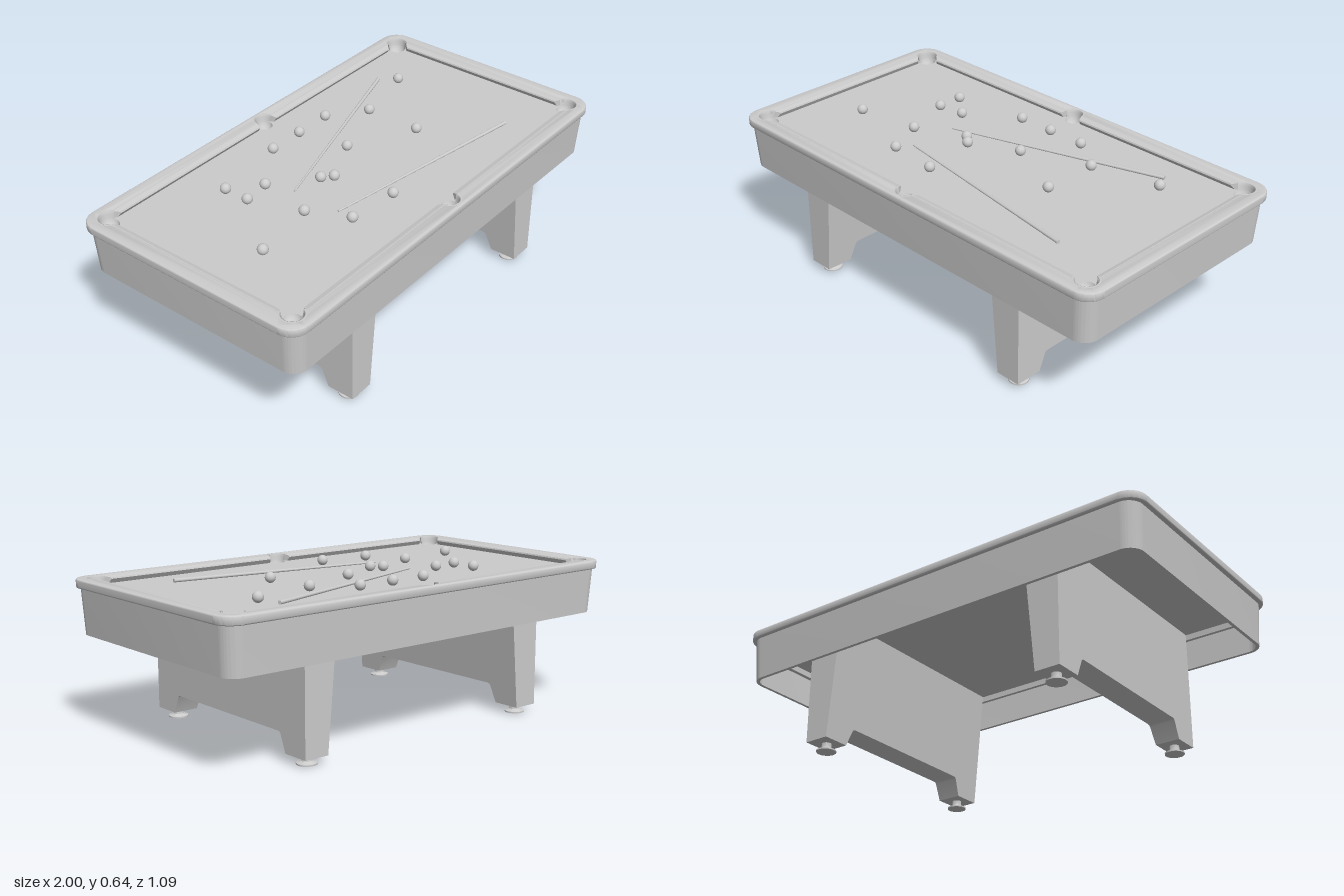
import * as THREE from 'three';
import { toCreasedNormals } from 'three/addons/utils/BufferGeometryUtils.js';

const mat = new THREE.MeshStandardMaterial({ color: 0xcccccc });
const matDouble = new THREE.MeshStandardMaterial({ color: 0xcccccc, side: THREE.DoubleSide });
const BED = 0.597;
const CORNER = { x: 0.912, z: 0.459, r: 0.045 };
const SIDE = { x: 0, z: 0.482, r: 0.042 };
const BACK_X = 0.935, BACK_Z = 0.487; // where the cushions meet the rail

function add(parent, name, geometry, material = mat) {
  const mesh = new THREE.Mesh(geometry, material);
  mesh.name = name;
  parent.add(mesh);
  return mesh;
}

function roundedRect(hx, hz, r, Type = THREE.Shape) {
  const s = new Type();
  s.absarc(hx - r, hz - r, r, 0, Math.PI / 2);
  s.absarc(-hx + r, hz - r, r, Math.PI / 2, Math.PI);
  s.absarc(-hx + r, -hz + r, r, Math.PI, Math.PI * 1.5);
  s.absarc(hx - r, -hz + r, r, Math.PI * 1.5, Math.PI * 2);
  s.closePath();
  return s;
}

// Extrudes a plan shape upward from y0 to y1
function slab(shape, y0, y1, bevel = 0) {
  const g = new THREE.ExtrudeGeometry(shape, {
    depth: y1 - y0 - 2 * bevel, curveSegments: 14, bevelEnabled: bevel > 0,
    bevelSize: bevel, bevelThickness: bevel, bevelOffset: -bevel, bevelSegments: 5,
  });
  return g.rotateX(-Math.PI / 2).translate(0, y0 + bevel, 0);
}

function moveVertices(g, rule) {
  const p = g.attributes.position, v = new THREE.Vector3();
  for (let i = 0; i < p.count; i++) {
    rule(v.fromBufferAttribute(p, i));
    p.setXYZ(i, v.x, v.y, v.z);
  }
  g.computeVertexNormals();
  return g;
}

// Inner outline of the rail: a rectangle bulging round the six pockets
function railOpening() {
  const quarter = [];
  const arc = (c, a0, a1, n) => {
    for (let i = 0; i <= n; i++) {
      const a = a0 + (a1 - a0) * i / n;
      quarter.push([c.x + c.r * Math.cos(a), c.z + c.r * Math.sin(a)]);
    }
  };
  arc(CORNER, -Math.acos((BACK_X - CORNER.x) / CORNER.r), Math.PI / 2 + Math.acos((BACK_Z - CORNER.z) / CORNER.r), 18);
  arc(SIDE, Math.asin((BACK_Z - SIDE.z) / SIDE.r), Math.PI / 2, 9);
  const half = [...quarter, ...quarter.slice(0, -1).reverse().map(([x, z]) => [-x, z])];
  const all = [...half, ...half.map(([x, z]) => [-x, -z])];
  return new THREE.Path(all.map(([x, z]) => new THREE.Vector2(x, z)));
}

// Cushion strip along +x from a to b, nose towards -z, ends mitred by ma and mb
function cushionGeometry(a, b, ma, mb, depth) {
  const s = new THREE.Shape([[-0.009, BED], [depth * 0.55, BED], [depth, 0.615], [depth * 0.9, 0.621], [0.1 * depth, 0.6265], [-0.009, 0.6265]]
    .map(([d, y]) => new THREE.Vector2(d, y)));
  const g = new THREE.ExtrudeGeometry(s, { depth: b - a, bevelEnabled: false });
  g.rotateY(Math.PI / 2); // depth along x, profile towards -z
  const mid = (b - a) / 2;
  return moveVertices(g, (v) => {
    const d = -v.z;
    v.x += a + (v.x < mid ? ma * d : -mb * d);
  });
}

function lathe(points, segments, start = 0, span = Math.PI * 2) {
  return new THREE.LatheGeometry(points.map(([r, y]) => new THREE.Vector2(r, y)), segments, start, span);
}

function buildLeg() {
  const leg = new THREE.Group();
  leg.name = 'leg';
  // Panel with an arched cut-out between its two feet
  const s = new THREE.Shape();
  s.moveTo(-0.496, 0.036);
  s.lineTo(-0.376, 0.036);
  s.lineTo(-0.348, 0.105);
  s.quadraticCurveTo(-0.344, 0.116, -0.33, 0.116);
  s.lineTo(0.33, 0.116);
  s.quadraticCurveTo(0.344, 0.116, 0.348, 0.105);
  s.lineTo(0.376, 0.036);
  s.lineTo(0.496, 0.036);
  s.lineTo(0.496, 0.57);
  s.lineTo(-0.496, 0.57);
  const g = new THREE.ExtrudeGeometry(s, { depth: 1, bevelEnabled: false, curveSegments: 6 });
  g.rotateY(Math.PI / 2);
  moveVertices(g, (v) => { v.x = v.x > 0.5 ? 0.625 : 0.516 - 0.088 * (v.y - 0.036); });
  add(leg, 'legPanel', toCreasedNormals(g, 0.5));
  // Levelling feet
  const profile = [[0, 0], [0.041, 0], [0.041, 0.006], [0.029, 0.009], [0.022, 0.014], [0.02, 0.02], [0.02, 0.037], [0, 0.037]];
  for (const z of [-0.434, 0.434]) {
    add(leg, 'foot', toCreasedNormals(lathe(profile, 24), 0.6)).position.set(0.57, 0, z);
  }
  return leg;
}

export function createModel() {
  const model = new THREE.Group();
  model.name = 'billiardTable';

  // Top rail
  const rail = roundedRect(1, 0.543, 0.08);
  rail.holes.push(railOpening());
  add(model, 'rail', toCreasedNormals(slab(rail, 0.591, 0.6275, 0.007), 0.6));

  // Apron, open below and widening slightly upward
  const apron = roundedRect(0.971, 0.519, 0.065);
  apron.holes.push(roundedRect(0.957, 0.505, 0.052, THREE.Path));
  const apronGeometry = moveVertices(slab(apron, 0.4, 0.594), (v) => {
    const t = (v.y - 0.4) / 0.19;
    v.x *= 1 + 0.0105 * t;
    v.z *= 1 + 0.0203 * t;
  });
  add(model, 'apron', toCreasedNormals(apronGeometry, 0.6));

  // Ledge inside the apron that carries the bed
  const ledge = roundedRect(0.968, 0.516, 0.06);
  ledge.holes.push(roundedRect(0.945, 0.497, 0.04, THREE.Path));
  add(model, 'ledge', toCreasedNormals(slab(ledge, 0.535, 0.562), 0.6));

  // Playing bed with pocket holes, closed underneath
  const pockets = [];
  for (const sz of [-1, 1]) {
    for (const sx of [-1, 1]) pockets.push({ x: sx * CORNER.x, z: sz * CORNER.z, r: CORNER.r, out: Math.atan2(sx, sz), span: Math.PI * 1.25 });
    pockets.push({ x: 0, z: sz * SIDE.z, r: SIDE.r, out: Math.atan2(0, sz), span: Math.PI * 0.95 });
  }
  const bed = roundedRect(0.974, 0.5225, 0.065);
  for (const p of pockets) bed.holes.push(new THREE.Path().absarc(p.x, -p.z, p.r - 0.008, 0, Math.PI * 2, true));
  add(model, 'bed', toCreasedNormals(slab(bed, 0.567, BED), 0.6));
  add(model, 'bedUnderside', slab(roundedRect(0.97, 0.52, 0.065), 0.56, 0.567));

  // Pocket bowls and their liners
  for (const p of pockets) {
    const h = p.r - 0.008;
    add(model, 'pocketBowl', lathe([[0, 0.569], [h * 0.5, 0.571], [h * 0.85, 0.579], [h, BED]], 28), matDouble)
      .position.set(p.x, 0, p.z);
    const liner = lathe([[h, BED - 0.003], [p.r - 0.003, 0.615], [p.r - 0.002, 0.6265], [p.r + 0.002, 0.6285], [p.r + 0.008, 0.6272]],
      24, p.out - p.span / 2, p.span);
    add(model, 'pocketLiner', liner, matDouble).position.set(p.x, 0, p.z);
  }

  // Cushions: two on each long side, one on each short side
  for (const turn of [0, Math.PI]) {
    const set = new THREE.Group();
    set.name = 'cushions';
    set.rotation.y = turn;
    add(set, 'longCushion', cushionGeometry(0.042, 0.876, 0.4, 1, 0.026)).position.z = BACK_Z;
    add(set, 'longCushion', cushionGeometry(-0.876, -0.042, 1, 0.4, 0.026)).position.z = BACK_Z;
    const short = add(set, 'shortCushion', cushionGeometry(-0.423, 0.423, 1, 1, 0.022));
    short.rotation.y = Math.PI / 2;
    short.position.x = BACK_X;
    model.add(set);
  }

  // Legs
  for (const turn of [0, Math.PI]) {
    const leg = buildLeg();
    leg.rotation.y = turn;
    model.add(leg);
  }

  // Balls
  const ball = new THREE.SphereGeometry(0.0225, 24, 16);
  for (const [x, z] of [[-0.48, -0.26], [-0.48, -0.144], [-0.358, -0.159], [-0.14, -0.309], [0.027, -0.309], [0.198, -0.309],
    [0.358, -0.193], [0.656, -0.26], [0.068, -0.084], [-0.182, -0.019], [-0.14, 0.017], [-0.402, 0.081],
    [0.358, 0.059], [-0.69, 0.124], [-0.321, 0.254], [-0.091, 0.275]]) {
    add(model, 'ball', ball).position.set(x, BED + 0.0225, z);
  }

  // Cues lying on the bed, tip to butt
  for (const [x0, z0, x1, z1] of [[-0.305, -0.052, 0.617, -0.341], [-0.305, 0.171, 0.65, 0.317]]) {
    const tip = new THREE.Vector3(x0, BED + 0.004, z0), butt = new THREE.Vector3(x1, BED + 0.008, z1);
    const dir = butt.clone().sub(tip);
    const cue = add(model, 'cue', new THREE.CylinderGeometry(0.008, 0.004, dir.length(), 14));
    cue.position.copy(tip).add(butt).multiplyScalar(0.5);
    cue.quaternion.setFromUnitVectors(new THREE.Vector3(0, 1, 0), dir.normalize());
  }
  return model;
}
